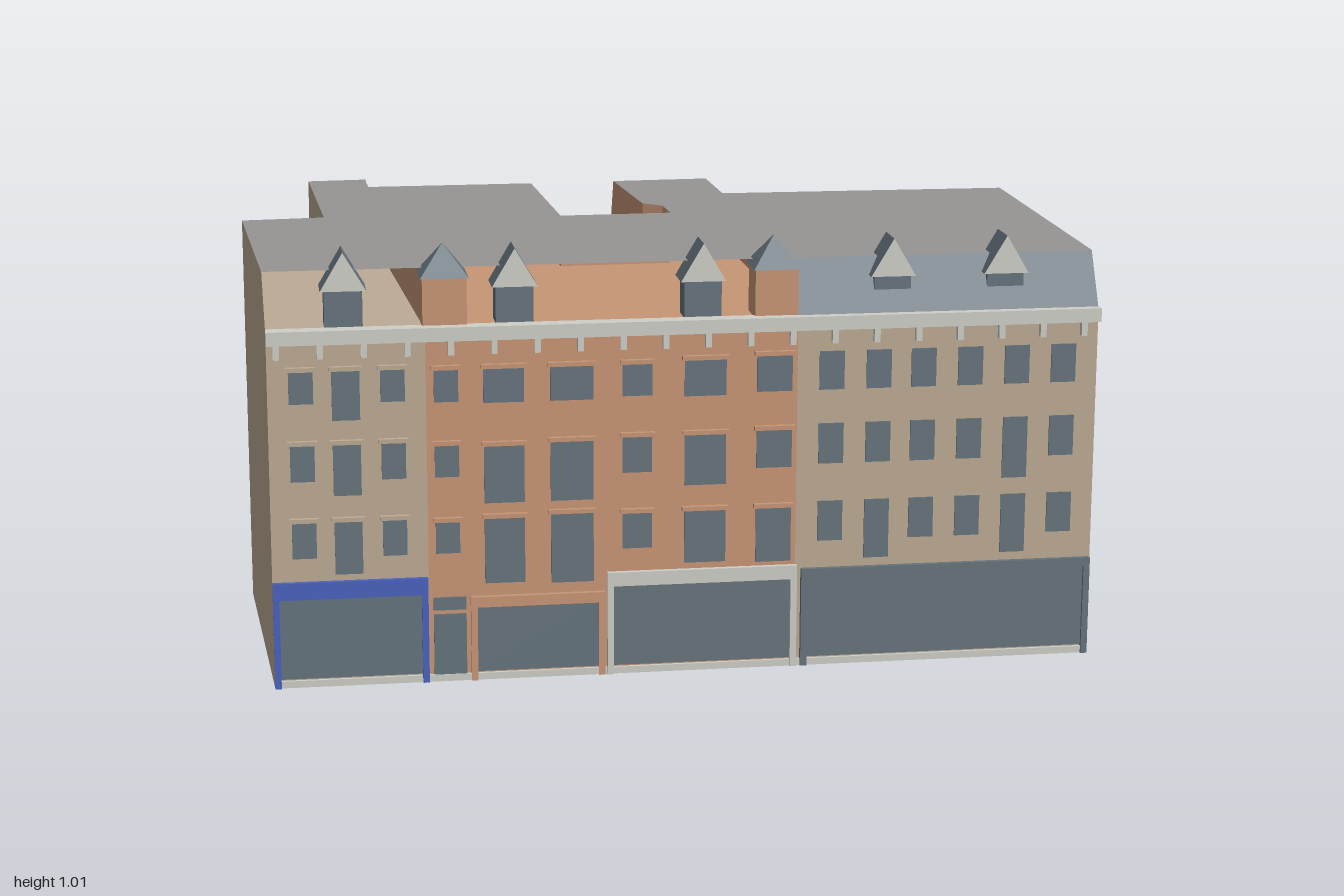
import * as THREE from 'three';

const mat = (name, color) => {
  const m = new THREE.MeshStandardMaterial({ color, side: THREE.DoubleSide });
  m.name = name;
  return m;
};

export function createModel() {
  const tan = mat('tan stone', 0xbdab95);
  const orange = mat('orange brick', 0xc89676);
  const roofGrey = mat('flat roof grey', 0x979593);
  const slate = mat('slate and glass', 0x66747d);
  const light = mat('pale trim', 0xcfcfc8);
  const blue = mat('blue shopfront', 0x4a62bd);

  const model = new THREE.Group();
  model.name = 'cityBlock';
  const EAVE = 0.83, TOP = 0.955, FRONT = 0.975;

  const add = (parent, name, geo, m) => {
    const mesh = new THREE.Mesh(geo, m);
    mesh.name = name;
    parent.add(mesh);
    return mesh;
  };
  const group = (name) => {
    const g = new THREE.Group();
    g.name = name;
    model.add(g);
    return g;
  };
  const box = (parent, name, x0, x1, y0, y1, z0, z1, m) => {
    const b = add(parent, name, new THREE.BoxGeometry(x1 - x0, y1 - y0, z1 - z0), m);
    b.position.set((x0 + x1) / 2, (y0 + y1) / 2, (z0 + z1) / 2);
    return b;
  };
  const fromPoints = (pts) => {
    const g = new THREE.BufferGeometry();
    g.setAttribute('position', new THREE.Float32BufferAttribute(pts.flat(), 3));
    g.computeVertexNormals();
    return g;
  };
  const quad = (a, b, c, d) => fromPoints([a, b, c, a, c, d]);

  // horizontal polygon, facing up or down
  const cap = (pts, y, up = true) => {
    const flat = pts.map(([x, z]) => new THREE.Vector2(x, -z));
    const tris = THREE.ShapeUtils.triangulateShape(flat, []);
    return fromPoints(tris.flatMap((t) => (up ? t : [...t].reverse()).map((i) => [pts[i][0], y, pts[i][1]])));
  };

  // corners: [x, z, topX, topZ]; edges: per side [wall material, attic material], null leaves it open
  const shell = (name, corners, wallMat, edges) => {
    const g = group(name);
    const low = corners.map(([x, z]) => [x, z]);
    const high = corners.map(([x, z, tx = x, tz = z]) => [tx, tz]);
    corners.forEach((_, i) => {
      const j = (i + 1) % corners.length;
      const [wall, attic] = edges[i] ?? [wallMat, wallMat];
      const at = (p, y) => [p[0], y, p[1]];
      if (wall) add(g, 'wall', quad(at(low[i], 0), at(low[j], 0), at(low[j], EAVE), at(low[i], EAVE)), wall);
      if (attic) add(g, 'atticSide', quad(at(low[i], EAVE), at(low[j], EAVE), at(high[j], TOP), at(high[i], TOP)), attic);
    });
    add(g, 'underside', cap(low, 0, false), wallMat);
    add(g, 'atticFloor', cap(low, EAVE - 0.002), wallMat);
    add(g, 'flatRoof', cap(high, TOP), roofGrey);
  };

  shell('leftHouse', [
    [-0.94, FRONT, -0.944, 0.905], [-0.585, FRONT, -0.589, 0.905], [-0.65, -0.24],
    [-0.65, -0.355, -0.65, -0.308], [-0.8, -0.345, -0.8, -0.3], [-0.78, 0.24], [-0.98, 0.255],
  ], tan, { 0: [tan, null], 1: [null, null], 3: [tan, slate] });

  shell('middleHouse', [
    [-0.585, FRONT, -0.589, 0.905], [0.265, FRONT, 0.265, 0.905], [0.25, 0],
    [0.245, -0.245, 0.245, -0.203], [-0.005, -0.237, -0.003, -0.195], [0.025, 0.15], [0.07, 0.19],
    [0.075, 0.29], [-0.2, 0.295], [-0.225, -0.24, -0.222, -0.19], [-0.65, -0.24, -0.648, -0.19],
  ], orange, { 0: [orange, null], 3: [orange, slate], 9: [orange, null] });

  shell('rightHouse', [
    [0.265, FRONT, 0.265, 0.905], [0.97, FRONT, 0.97, 0.905], [0.98, 0.005, 0.98, 0.045], [0.25, 0, 0.25, 0.03],
  ], tan, { 0: [tan, slate], 2: [tan, slate], 3: [null, null] });

  // single-storey rear annex
  const annex = group('rearAnnex');
  const foot = [[-0.65, -0.24], [-0.225, -0.24], [-0.26, -1], [-0.68, -0.94]];
  foot.forEach((a, i) => {
    const b = foot[(i + 1) % 4];
    if (i) add(annex, 'annexWall', quad([a[0], 0, a[1]], [b[0], 0, b[1]], [b[0], 0.172, b[1]], [a[0], 0.172, a[1]]), orange);
  });
  add(annex, 'annexFloor', cap(foot, 0, false), orange);
  add(annex, 'annexRoof', cap(foot, 0.172), roofGrey);

  // framed rear windows spread along a wall from a to b
  const rear = group('rearWindows');
  const rearWindows = (a, b, fractions, rows, w, h) => {
    const dx = b[0] - a[0], dz = b[1] - a[1];
    for (const f of fractions) for (const y of rows) {
      const g = new THREE.Group();
      g.name = 'rearWindow';
      g.position.set(a[0] + dx * f, y, a[1] + dz * f);
      g.rotation.y = Math.atan2(-dz, dx);
      box(g, 'frame', -w / 2, w / 2, -h / 2, h / 2, 0, 0.004, light);
      box(g, 'glass', -w / 2 + 0.008, w / 2 - 0.008, -h / 2 + 0.008, h / 2 - 0.008, 0.001, 0.007, slate);
      rear.add(g);
    }
  };
  const floors = [0.12, 0.325, 0.53, 0.725];
  rearWindows([0.98, 0.005], [0.25, 0], [0.13, 0.37, 0.62, 0.86], floors, 0.085, 0.125);
  rearWindows([0.245, -0.245], [-0.005, -0.237], [0.25, 0.75], floors, 0.07, 0.12);
  rearWindows([-0.78, 0.24], [-0.98, 0.255], [0.27, 0.73], floors, 0.07, 0.12);
  rearWindows([0.075, 0.29], [-0.2, 0.295], [0.27, 0.73], floors, 0.07, 0.12);
  rearWindows([-0.26, -1], [-0.68, -0.94], [0.14, 0.5, 0.86], [0.095], 0.085, 0.11);

  // front windows: [x, width, then bottom and top of each of three floors]
  const front = group('frontWindows');
  const frontWindows = (list, hoodMat) => {
    for (const [x, w, ...ys] of list) for (let i = 0; i < 6; i += 2) {
      box(front, 'window', x - w / 2, x + w / 2, ys[i], ys[i + 1], FRONT - 0.002, FRONT + 0.004, slate);
      if (hoodMat) box(front, 'windowHood', x - w / 2 - 0.006, x + w / 2 + 0.006, ys[i + 1], ys[i + 1] + 0.01, FRONT - 0.002, FRONT + 0.012, hoodMat);
    }
  };
  frontWindows([
    [-0.865, 0.055, 0.665, 0.74, 0.485, 0.57, 0.305, 0.39],
    [-0.765, 0.063, 0.625, 0.74, 0.45, 0.57, 0.265, 0.39],
    [-0.66, 0.055, 0.665, 0.74, 0.485, 0.57, 0.305, 0.39],
  ], tan);
  frontWindows([
    [-0.54, 0.055, 0.66, 0.735, 0.485, 0.56, 0.305, 0.38],
    [-0.41, 0.092, 0.655, 0.735, 0.42, 0.555, 0.23, 0.385],
    [-0.255, 0.098, 0.655, 0.735, 0.42, 0.56, 0.225, 0.39],
    [-0.105, 0.068, 0.66, 0.735, 0.48, 0.565, 0.3, 0.385],
    [0.052, 0.096, 0.655, 0.74, 0.445, 0.565, 0.26, 0.385],
    [0.212, 0.082, 0.66, 0.745, 0.48, 0.57, 0.255, 0.385],
  ], orange);
  frontWindows([0.345, 0.455, 0.56, 0.67, 0.78, 0.89].map((x, i) =>
    [x, 0.058, 0.66, 0.75, i === 4 ? 0.435 : 0.485, 0.58, i === 1 || i === 4 ? 0.255 : 0.3, 0.395]), null);

  // shopfronts: glazing, posts and fascia
  const shops = group('shopfronts');
  const shop = (x0, x1, glassTop, top, m) => {
    box(shops, 'shopGlass', x0 + 0.015, x1 - 0.015, 0.02, glassTop, FRONT - 0.002, FRONT + 0.005, slate);
    box(shops, 'shopFascia', x0, x1, glassTop, top, FRONT - 0.002, FRONT + 0.012, m);
    for (const x of [x0, x1 - 0.015]) box(shops, 'shopPost', x, x + 0.015, 0, glassTop, FRONT - 0.002, FRONT + 0.012, m);
  };
  shop(-0.94, -0.587, 0.21, 0.25, blue);
  shop(-0.49, -0.18, 0.175, 0.2, orange);
  shop(-0.175, 0.268, 0.212, 0.245, light);
  shop(0.278, 0.968, 0.215, 0.235, slate);
  box(shops, 'door', -0.575, -0.5, 0.01, 0.16, FRONT - 0.002, FRONT + 0.005, slate);
  box(shops, 'doorFanlight', -0.575, -0.5, 0.17, 0.2, FRONT - 0.002, FRONT + 0.005, slate);
  box(shops, 'plinth', -0.94, 0.968, 0, 0.016, FRONT - 0.002, FRONT + 0.007, light);

  // cornice with brackets
  const cornice = group('cornice');
  box(cornice, 'corniceBand', -0.94, 0.972, 0.803, 0.835, 0.957, 0.995, light);
  for (let i = 0; i < 20; i++) {
    const x = -0.925 + i * 0.0975;
    box(cornice, 'bracket', x, x + 0.014, 0.77, 0.803, FRONT - 0.002, 0.99, light);
  }

  // small gabled dormers
  for (const x of [-0.765, -0.38, 0.05, 0.49, 0.755]) {
    const g = group('smallDormer');
    g.position.x = x;
    box(g, 'dormerBody', -0.043, 0.043, 0.83, 0.92, 0.88, 0.945, slate);
    const gable = new THREE.Shape([[-0.052, 0.915], [0.052, 0.915], [0, 1.003]].map((p) => new THREE.Vector2(...p)));
    const roof = add(g, 'dormerRoof', new THREE.ExtrudeGeometry(gable, { depth: 0.085, bevelEnabled: false }), slate);
    roof.position.z = 0.867;
    const face = add(g, 'dormerGable', new THREE.ShapeGeometry(gable), light);
    face.position.z = 0.954;
  }

  // large dormers with pyramid roofs
  for (const x of [-0.54, 0.217]) {
    const g = group('largeDormer');
    box(g, 'dormerBody', x - 0.05, x + 0.05, 0.83, 0.945, 0.88, 0.968, orange);
    const geo = new THREE.ConeGeometry(0.055 * Math.SQRT2, 0.073, 4).toNonIndexed();
    geo.rotateY(Math.PI / 4);
    geo.computeVertexNormals();
    add(g, 'dormerRoof', geo, slate).position.set(x, 0.9785, 0.921);
  }
  return model;
}
